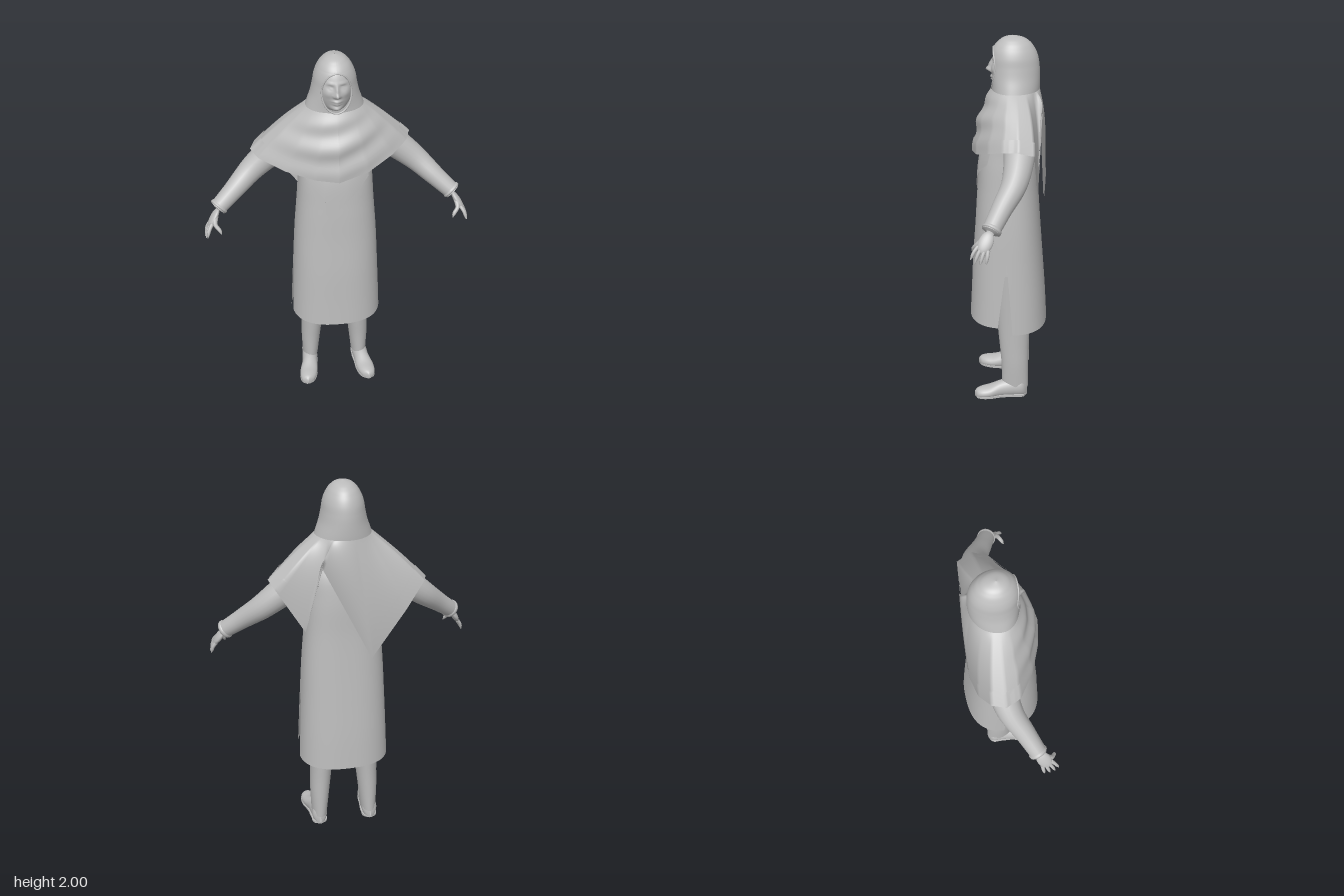
import * as THREE from 'three';

const cloth = new THREE.MeshStandardMaterial({ color: 0xbcbcbc, side: THREE.DoubleSide });
cloth.name = 'plain grey';
const { sin, cos, abs, sign, PI, sqrt, exp, max, min, asin } = Math;
const V = (x, y, z) => new THREE.Vector3(x, y, z);
const steps = (n, f) => Array.from({ length: n + 1 }, (_, i) => f(i / n));

function add(parent, name, geometry) {
  const mesh = new THREE.Mesh(geometry, cloth);
  mesh.name = name;
  parent.add(mesh);
  return mesh;
}

// Smooth skin over rows of points; closed rows join their last point to the first
function skin(rows, closed = false) {
  const n = rows[0].length, index = [];
  for (let r = 0; r < rows.length - 1; r++)
    for (let c = 0; c < (closed ? n : n - 1); c++) {
      const a = r * n + c, b = r * n + (c + 1) % n;
      index.push(a, b, a + n, b, b + n, a + n);
    }
  const g = new THREE.BufferGeometry().setFromPoints(rows.flat());
  g.setIndex(index);
  g.computeVertexNormals();
  return g;
}

// Smooth interpolation in a table whose first column rises
function table(rows) {
  const f = new THREE.CubicInterpolant(rows.map(r => r[0]), rows.flatMap(r => r.slice(1)), rows[0].length - 1);
  return t => Array.from(f.evaluate(t));
}
const ring = (n, f) => Array.from({ length: n }, (_, i) => f(i / n * 2 * PI));

// Round limb along a curve with changing radius
function limb(points, radii, n = 20, sides = 20) {
  const curve = new THREE.CatmullRomCurve3(points.map(p => V(...p)));
  const { normals, binormals } = curve.computeFrenetFrames(n);
  return skin(steps(n, t => {
    const k = t * (radii.length - 1), i = min(Math.floor(k), radii.length - 2);
    const r = radii[i] + (radii[i + 1] - radii[i]) * (k - i), j = Math.round(t * n), p = curve.getPoint(t);
    return ring(sides, a => p.clone().addScaledVector(normals[j], r * cos(a)).addScaledVector(binormals[j], r * sin(a)));
  }), true);
}

// Tunic: y, half width, front z, back z
const tunic = table([[.42, .245, .21, -.21], [.6, .237, .2, -.2], [.8, .227, .19, -.185], [1, .216, .175, -.17],
  [1.2, .2, .162, -.157], [1.4, .185, .14, -.15], [1.53, .165, .09, -.13], [1.6, .1, .05, -.1]]);
function tunicPoint(y, a) {
  const [w, f, b] = tunic(y), s = sin(a), c = cos(a);
  return V(w * sign(s) * abs(s) ** .8, y, (c > 0 ? f : -b) * sign(c) * abs(c) ** .8);
}
function tunicPanel(hem, start, gap) {
  return skin(steps(40, t => {
    const y = 1.6 + (hem - 1.6) * t, g = gap * max(0, (.82 - y) / .38);
    return steps(40, u => tunicPoint(y, start + g + (PI - 2 * g) * u));
  }));
}

// Hood: y, half width, front z, back z
const hood = table([[1.68, .16, .088, -.158], [1.71, .152, .086, -.158], [1.75, .139, .086, -.16], [1.8, .122, .09, -.16],
  [1.85, .111, .09, -.157], [1.9, .102, .088, -.148], [1.94, .086, .075, -.13], [1.97, .065, .05, -.105],
  [1.99, .037, .02, -.07], [2, .003, -.017, -.023]]);
function hoodPoint(y, a) {
  const [w, f, b] = hood(y), c = cos(a);
  return V(w * sin(a), y, -.02 + (c > 0 ? f + .02 : -.02 - b) * c);
}

// Shawl hem: angle, x, y, z, running from the front round by the left side
const hem = [[0, 0, 1.385, .185], [35, .15, 1.42, .155], [60, .28, 1.47, .085], [80, .36, 1.505, .01], [100, .39, 1.515, -.06],
  [120, .365, 1.49, -.14], [140, .22, 1.25, -.155], [150, .14, 1.61, -.165], [195, -.12, 1.08, -.185], [230, -.3, 1.34, -.175],
  [250, -.4, 1.47, -.13], [265, -.425, 1.465, -.06], [285, -.39, 1.455, .01], [310, -.26, 1.42, .1], [335, -.12, 1.395, .16],
  [360, 0, 1.385, .185]];
function shawlPoint(deg, s) {
  const i = max(1, hem.findIndex(h => h[0] >= deg)), a = hem[i - 1], b = hem[i];
  const k = (deg - a[0]) / (b[0] - a[0]), rad = deg * PI / 180;
  const end = V(...[1, 2, 3].map(j => a[j] + (b[j] - a[j]) * k));
  const p = hoodPoint(1.73, rad).lerp(end, s), swell = s * (1 - s) * 4;
  const front = max(0, cos(rad));
  p.z += swell * (cos(rad) > 0 ? .02 : .022) * cos(rad);
  p.y += swell * .012;
  // draped folds under the chin
  p.z += front * swell * .009 * sin(s * 15 + 1.6 * sin(rad));
  return p;
}

function face() {
  const g = new THREE.SphereGeometry(1, 72, 60), p = g.attributes.position;
  const bump = (x, y, cx, cy, sx, sy) => exp(-(((x - cx) / sx) ** 2) - ((y - cy) / sy) ** 2);
  for (let i = 0; i < p.count; i++) {
    const x = p.getX(i) * .086, y = 1.835 + p.getY(i) * .13;
    let z = p.getZ(i) * .085;
    if (z > 0) {
      const m = abs(x);
      z += .026 * bump(x, y, 0, 1.826, .011, .013) + .016 * bump(x, y, 0, 1.852, .008, .024)
        + .008 * bump(m, y, .013, 1.82, .007, .007)
        - .011 * bump(m, y, .031, 1.864, .017, .01) + .008 * bump(m, y, .031, 1.862, .011, .006)
        + .004 * bump(m, y, .03, 1.885, .02, .006)
        + .016 * bump(x, y, 0, 1.79, .02, .006) + .015 * bump(x, y, 0, 1.775, .018, .006)
        + .024 * bump(x, y, 0, 1.745, .028, .018) + .006 * bump(m, y, .045, 1.83, .02, .02);
    }
    p.setXYZ(i, x, y, z);
  }
  g.computeVertexNormals();
  return g;
}

// Left arm, hand, leg and shoe
function leftLimbs() {
  const side = new THREE.Group();
  add(side, 'sleeve', limb([[.18, 1.535, -.06], [.3, 1.46, -.065], [.42, 1.365, -.045], [.52, 1.28, .01], [.615, 1.2, .06]],
    [.085, .08, .07, .059, .05, .044]));
  const cuff = [[.6, 1.213, .052], [.608, 1.206, .056], [.618, 1.197, .062]];
  add(side, 'cuff', limb(cuff, [.046, .05, .049, .02], 6));

  const along = V(.505, -.78, .367).normalize();
  const across = V(-.2, .31, .93).addScaledVector(along, -V(-.2, .31, .93).dot(along)).normalize();
  const thick = across.clone().cross(along);
  const palm = new THREE.SphereGeometry(1, 24, 18).scale(.036, .058, .017);
  palm.applyMatrix4(new THREE.Matrix4().makeBasis(across, along, thick).setPosition(.64, 1.155, .082));
  add(side, 'palm', palm);
  const at = (u, v, drop = 0) => {
    const q = V(.64, 1.155, .082).addScaledVector(across, u).addScaledVector(along, v);
    return [q.x - drop * .4, q.y - drop, q.z];
  };
  [[-.026, .07], [-.009, .088], [.009, .092], [.026, .082]].forEach(([u, l]) =>
    add(side, 'finger', limb([at(u, .03), at(u * 1.3, .03 + l * .4), at(u * 1.5, .03 + l * .8, .012)],
      [.01, .0095, .009, .008, .002], 10, 10)));
  add(side, 'thumb', limb([at(.015, -.02), [.633, 1.14, .123], [.612, 1.115, .142], [.604, 1.095, .15]],
    [.014, .013, .011, .009, .002], 10, 10));

  const leg = table([[.05, .142, -.042, .042, .072], [.2, .137, -.04, .053, .074], [.3, .131, -.036, .058, .079],
    [.42, .125, -.033, .064, .087], [.75, .11, -.02, .085, .1]]);
  add(side, 'trouserLeg', skin(steps(24, t => {
    const y = .06 + .69 * t, [x, z, w, d] = leg(y);
    return ring(28, a => V(x + w * cos(a), y + .012 * sin(a) * (1 - t), z + d * sin(a)));
  }), true));

  const shoe = table([[-.11, .145, .04, .003], [-.1, .145, .085, .026], [-.04, .145, .1, .042], [.03, .152, .087, .043],
    [.1, .165, .06, .05], [.15, .173, .05, .04], [.17, .176, .042, .024], [.18, .177, .03, .002]]);
  add(side, 'shoe', skin(steps(36, t => {
    const z = -.11 + .29 * t, [x, h, w] = shoe(z);
    return ring(24, a => V(x + w * cos(a), max(.002, h / 2 - .005 + (h / 2 + .005) * sin(a)), z));
  }), true));
  const sole = new THREE.Shape(steps(20, t => {
    const z = -.109 + .287 * t, [x, , w] = shoe(z);
    return new THREE.Vector2(x + w, z);
  }).concat(steps(20, t => {
    const z = .178 - .287 * t, [x, , w] = shoe(z);
    return new THREE.Vector2(x - w, z);
  })));
  add(side, 'sole', new THREE.ExtrudeGeometry(sole, { depth: .012, bevelEnabled: false }).rotateX(PI / 2).translate(0, .012, 0));
  return side;
}

export function createModel() {
  const model = new THREE.Group();
  model.name = 'robedWoman';

  add(model, 'face', face());

  // Hood with an oval opening for the face
  add(model, 'hood', skin(steps(60, t => {
    const y = 2 - .31 * t ** 1.6, k = 1 - ((y - 1.833) / .107) ** 2;
    const open = k > 0 ? asin(min(1, .074 * sqrt(k) / hood(y)[0])) : 0;
    return steps(64, u => hoodPoint(y, open + (2 * PI - 2 * open) * u));
  })));
  const rim = steps(48, t => {
    const a = t * 2 * PI, y = 1.833 + .106 * cos(a), x = .073 * sin(a);
    return hoodPoint(y, asin(x / hood(y)[0])).toArray();
  }).slice(0, -1);
  add(model, 'hoodRim', new THREE.TubeGeometry(
    new THREE.CatmullRomCurve3(rim.map(p => V(...p)), true), 72, .0045, 8, true));

  // Shawl and its raised border
  add(model, 'shawl', skin(steps(28, s => steps(144, u => shawlPoint(u * 360, s)))));
  add(model, 'shawlBorder', skin(steps(6, s => steps(144, u => {
    const p = shawlPoint(u * 360, .8 + .2 * s);
    return V(p.x * 1.008, p.y + .002, p.z + (p.z > -.03 ? .004 : -.004));
  }))));

  // Pointed under-flap lying on the chest
  const flapEdge = x => x < -.07 ? 1.25 + (-.07 - x) * 1.3 : 1.14 + (x + .07) * .98;
  add(model, 'chestFlap', skin([-.17, -.12, -.0701, -.0699, -.02, .04, .1, .16].map(x => steps(10, t => {
    const y = 1.46 + (flapEdge(x) - 1.46) * t, w = tunic(y)[0];
    const p = tunicPoint(y, asin(min(1, (abs(x) / w) ** 1.25)));
    return V(x, y, p.z + .007);
  }))));

  // Tunic with side slits
  add(model, 'tunicFront', tunicPanel(.465, -PI / 2, .17));
  add(model, 'tunicBack', tunicPanel(.425, PI / 2, .09));

  const left = leftLimbs(), right = leftLimbs();
  left.name = 'leftLimbs';
  right.name = 'rightLimbs';
  right.scale.x = -1;
  model.add(left, right);
  return model;
}
